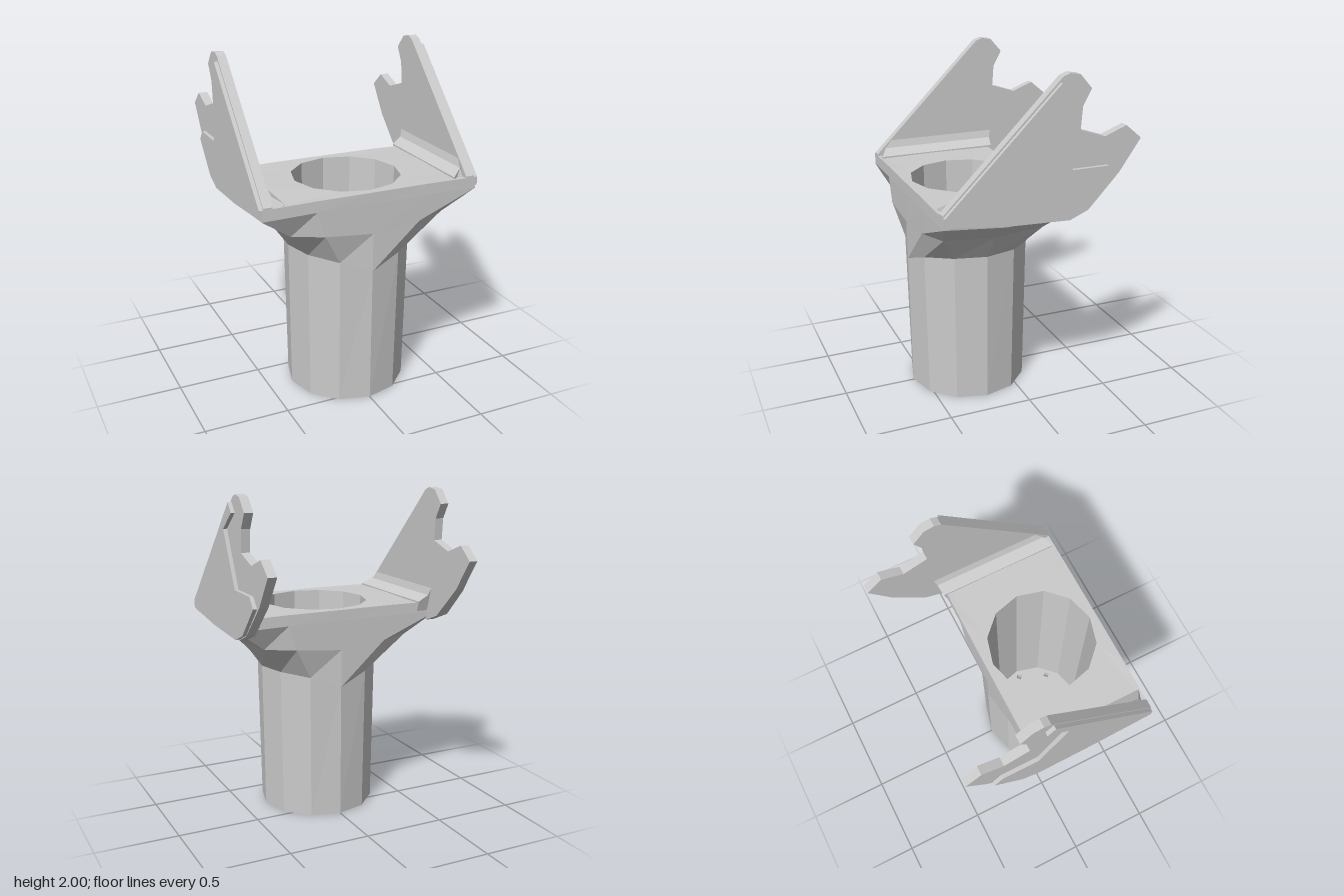
import * as THREE from 'three';

const CZ = 0.215; // z of the tube axis
const N = 12;
const material = new THREE.MeshStandardMaterial({ color: 0xcccccc, flatShading: true, side: THREE.DoubleSide });

function addMesh(parent, name, geometry) {
  const mesh = new THREE.Mesh(geometry, material);
  mesh.name = name;
  parent.add(mesh);
  return mesh;
}

// Twelve-sided ring at one height
function circleRing(radius, y) {
  return Array.from({ length: N }, (_, k) => {
    const a = (k / N) * Math.PI * 2;
    return [Math.sin(a) * radius, y, CZ + Math.cos(a) * radius];
  });
}

// Full ring mirrored from its quarter: front middle, front, corner, side
function quarterRing(q) {
  const order = [0, 1, 2, 3, 2, 1, 0, 1, 2, 3, 2, 1];
  return order.map((i, k) => {
    const sx = k < 6 ? 1 : -1;
    const sz = k > 3 && k < 9 ? -1 : 1;
    return [q[i][0] * sx, q[i][1], CZ + q[i][2] * sz];
  });
}

// Faceted skin through successive rings
function loft(rings) {
  const pos = [];
  for (let r = 0; r < rings.length - 1; r++) {
    for (let k = 0; k < N; k++) {
      const n = (k + 1) % N;
      const a = rings[r][k], b = rings[r][n], c = rings[r + 1][n], d = rings[r + 1][k];
      pos.push(...a, ...b, ...c, ...a, ...c, ...d);
    }
  }
  const g = new THREE.BufferGeometry();
  g.setAttribute('position', new THREE.Float32BufferAttribute(pos, 3));
  g.computeVertexNormals();
  return g;
}

// Plate with a [z, y] outline, spanning x0..x1
function sidePlate(outline, x0, x1) {
  const shape = new THREE.Shape(outline.map(([z, y]) => new THREE.Vector2(-z, y)));
  const g = new THREE.ExtrudeGeometry(shape, { depth: x1 - x0, bevelEnabled: false });
  return g.rotateY(Math.PI / 2).translate(x0, 0, 0);
}

function createModel() {
  const model = new THREE.Group();
  model.name = 'forkedBracket';

  // Hollow tube flaring into the rectangular head, then down the bore
  addMesh(model, 'tubeAndFlaredHead', loft([
    circleRing(0.355, 0.01),
    quarterRing([[0, 0.83, 0.362], [0.185, 0.9, 0.32], [0.32, 0.92, 0.185], [0.365, 0.92, 0]]),
    quarterRing([[0, 1.06, 0.363], [0.29, 1.09, 0.363], [0.47, 1.1, 0.3], [0.48, 1.08, 0]]),
    quarterRing([[0, 1.24, 0.364], [0.34, 1.24, 0.364], [0.655, 1.235, 0.362], [0.65, 1.2, 0]]),
    quarterRing([[0, 1.305, 0.363], [0.34, 1.305, 0.362], [0.655, 1.3, 0.36], [0.66, 1.305, 0]]),
    circleRing(0.32, 1.305),
    circleRing(0.3, 0.03),
  ]));

  // Floor with a centre opening and a circle of bolt holes
  const polygon = (cx, cy, r, sides, Kind) => new Kind(Array.from({ length: sides }, (_, k) => {
    const a = (k / sides) * Math.PI * 2;
    return new THREE.Vector2(cx + Math.cos(a) * r, cy + Math.sin(a) * r);
  }));
  const floor = polygon(0, 0, 0.352, N, THREE.Shape);
  floor.holes.push(polygon(0, 0, 0.09, 6, THREE.Path));
  for (let k = 0; k < 8; k++) {
    const a = (k / 8) * Math.PI * 2;
    floor.holes.push(polygon(Math.cos(a) * 0.255, Math.sin(a) * 0.255, 0.022, 4, THREE.Path));
  }
  const floorGeometry = new THREE.ExtrudeGeometry(floor, { depth: 0.05, bevelEnabled: false });
  floorGeometry.rotateX(-Math.PI / 2).translate(0, 0.005, CZ);
  addMesh(model, 'floor', floorGeometry);

  // Notched arm outline, and the thicker outer part that stops short of the fork tips
  const armOutline = [
    [0.575, 1.25], [0.575, 1.31], [-0.1, 1.985], [-0.14, 2], [-0.2, 1.99], [-0.27, 1.91],
    [-0.22, 1.82], [-0.21, 1.69], [-0.36, 1.64], [-0.49, 1.69], [-0.585, 1.61],
    [-0.46, 1.43], [-0.26, 1.235], [-0.15, 1.19], [0.2, 1.21],
  ];
  const outerOutline = [
    [0.572, 1.25], [0.572, 1.3], [-0.085, 1.955], [-0.13, 1.9], [0, 1.8], [-0.16, 1.48],
    [-0.38, 1.48], [-0.43, 1.42], [-0.26, 1.24], [-0.15, 1.195], [0.2, 1.21],
  ];

  for (const side of [-1, 1]) {
    const arm = new THREE.Group();
    arm.name = side > 0 ? 'leftArm' : 'rightArm';
    const span = (a, b) => (side > 0 ? [a, b] : [-b, -a]);
    addMesh(arm, 'forkPlate', sidePlate(armOutline, ...span(0.592, 0.645)));
    addMesh(arm, 'outerPad', sidePlate(outerOutline, ...span(0.64, 0.668)));

    // Sloped fillet between the arm and the head
    const fillet = new THREE.Shape();
    fillet.moveTo(side * 0.6, 1.25);
    fillet.lineTo(side * 0.52, 1.25);
    fillet.lineTo(side * 0.52, 1.312);
    fillet.lineTo(side * 0.578, 1.35);
    fillet.lineTo(side * 0.6, 1.42);
    const g = new THREE.ExtrudeGeometry(fillet, { depth: 0.62, bevelEnabled: false });
    // Lean the fillet's front back under the arm's sloping edge
    const p = g.attributes.position;
    for (let i = 0; i < p.count; i++) {
      const front = p.getZ(i) > 0.3;
      p.setZ(i, front ? 0.565 - Math.max(0, p.getY(i) - 1.31) : -0.15 - (p.getY(i) - 1.25) * 0.3);
    }
    g.computeVertexNormals();
    addMesh(arm, 'fillet', g);
    model.add(arm);
  }
  return model;
}

export { createModel };
